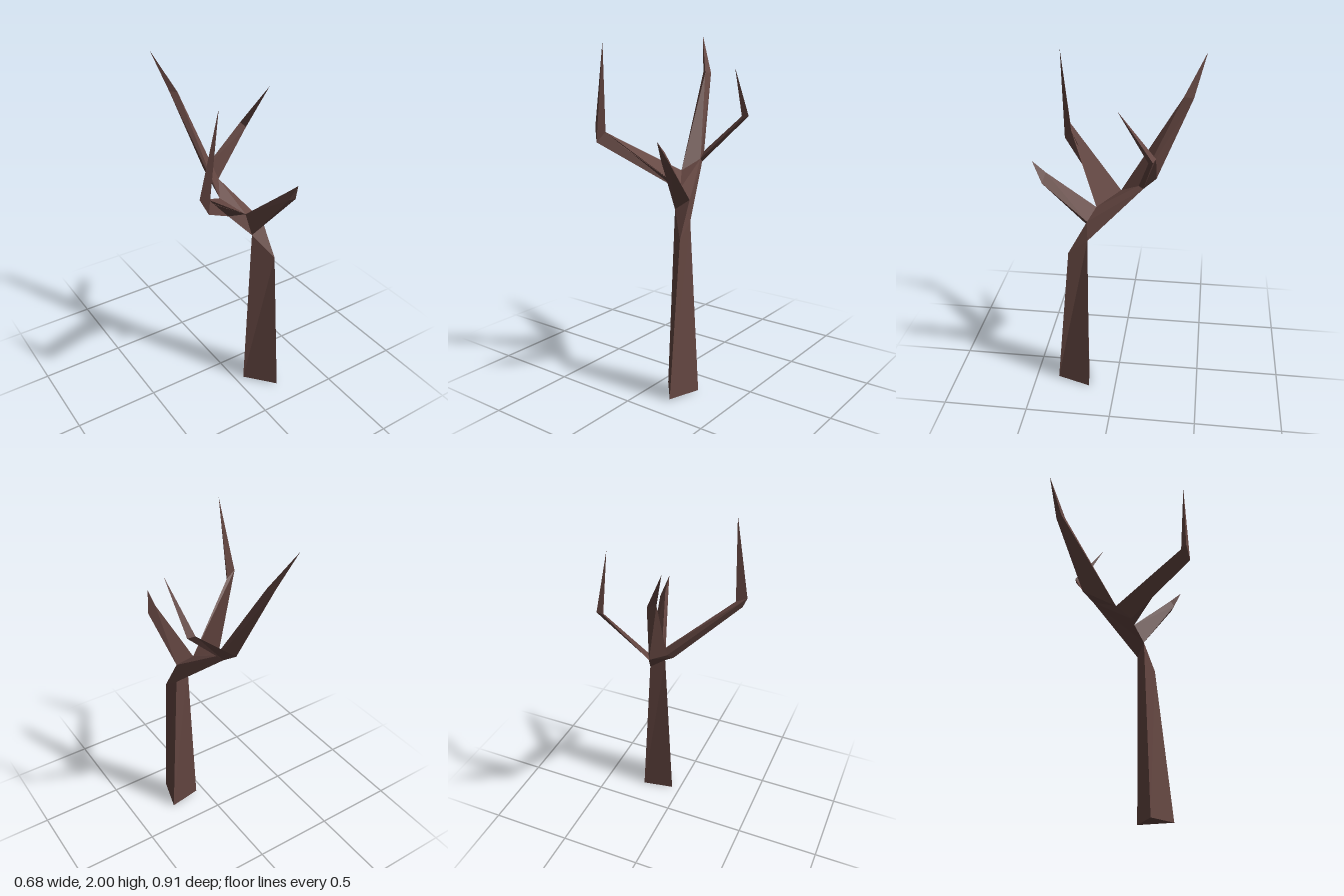
import * as THREE from 'three';

// Corner points shared where trunk and branches join
const trunkLeft = [0.095, 1.06, 0.18], trunkFront = [0.195, 0.92, 0.27], trunkRight = [0.185, 1.0, 0.16];
const forkRight = [0.18, 1.12, 0.16], forkTop = [0.09, 1.17, 0.12], forkUnder = [0, 1.165, 0.08];
const neckLeft = [0, 1.24, -0.01], neckRight = [0.06, 1.3, -0.115];
const neckBack = [0.02, 1.33, -0.21], neckUnder = [0.055, 1.28, -0.14];

// Triangles between two rings of equal length, running from root to tip
function bridge(a, b) {
  const tris = [];
  a.forEach((p, i) => {
    const j = (i + 1) % a.length;
    tris.push([p, a[j], b[j]], [p, b[j], b[i]]);
  });
  return tris;
}

// A bent branch: root ring, bend ring, then a pointed tip
function branch(root, bend, tip) {
  const spike = bend.map((p, i) => [p, bend[(i + 1) % bend.length], tip]);
  return [...bridge(root, bend), ...spike];
}

export function createModel() {
  const bark = new THREE.MeshStandardMaterial({ color: 0x644641, flatShading: true });
  bark.name = 'bark brown';
  const tree = new THREE.Group();
  tree.name = 'bareTree';

  function addPart(name, tris) {
    const geometry = new THREE.BufferGeometry();
    geometry.setAttribute('position', new THREE.Float32BufferAttribute(tris.flat(2), 3));
    geometry.computeVertexNormals();
    const mesh = new THREE.Mesh(geometry, bark);
    mesh.name = name;
    tree.add(mesh);
  }

  // Tapered three-sided trunk with a closed foot
  const foot = [[0.05, 0.005, 0.19], [0.19, 0.01, 0.36], [0.245, 0, 0.16]];
  addPart('trunk', [
    ...bridge(foot, [trunkLeft, trunkFront, trunkRight]),
    [foot[0], foot[2], foot[1]],
  ]);

  // Leaning neck that links the trunk to all four branches
  addPart('leaningNeck', [
    [trunkLeft, trunkFront, forkRight], [trunkFront, trunkRight, forkRight],
    [forkRight, trunkRight, neckUnder], [forkRight, neckUnder, neckRight],
    [forkTop, forkRight, neckRight], [forkTop, neckRight, neckLeft],
    [trunkRight, trunkLeft, neckUnder], [neckUnder, trunkLeft, forkUnder],
    [trunkLeft, forkTop, forkUnder], [neckUnder, forkUnder, neckLeft],
    [neckUnder, neckLeft, neckBack],
  ]);

  addPart('frontBranch', branch(
    [trunkLeft, forkRight, forkTop],
    [[0.17, 1.37, 0.4], [0.22, 1.36, 0.395], [0.18, 1.41, 0.38]],
    [0.185, 1.475, 0.452]));

  addPart('rightBranch', branch(
    [forkTop, neckLeft, forkUnder],
    [[-0.28, 1.475, 0.322], [-0.342, 1.5, 0.337], [-0.308, 1.42, 0.367]],
    [-0.247, 1.97, 0.365]));

  addPart('mainBranch', branch(
    [neckLeft, neckRight, neckBack],
    [[-0.1, 1.78, -0.37], [-0.065, 1.78, -0.34], [-0.06, 1.775, -0.394]],
    [-0.165, 2, -0.455]));

  addPart('leftBranch', branch(
    [neckRight, neckUnder, neckBack],
    [[0.295, 1.54, -0.185], [0.322, 1.555, -0.21], [0.28, 1.56, -0.223]],
    [0.34, 1.83, -0.03]));

  return tree;
}
